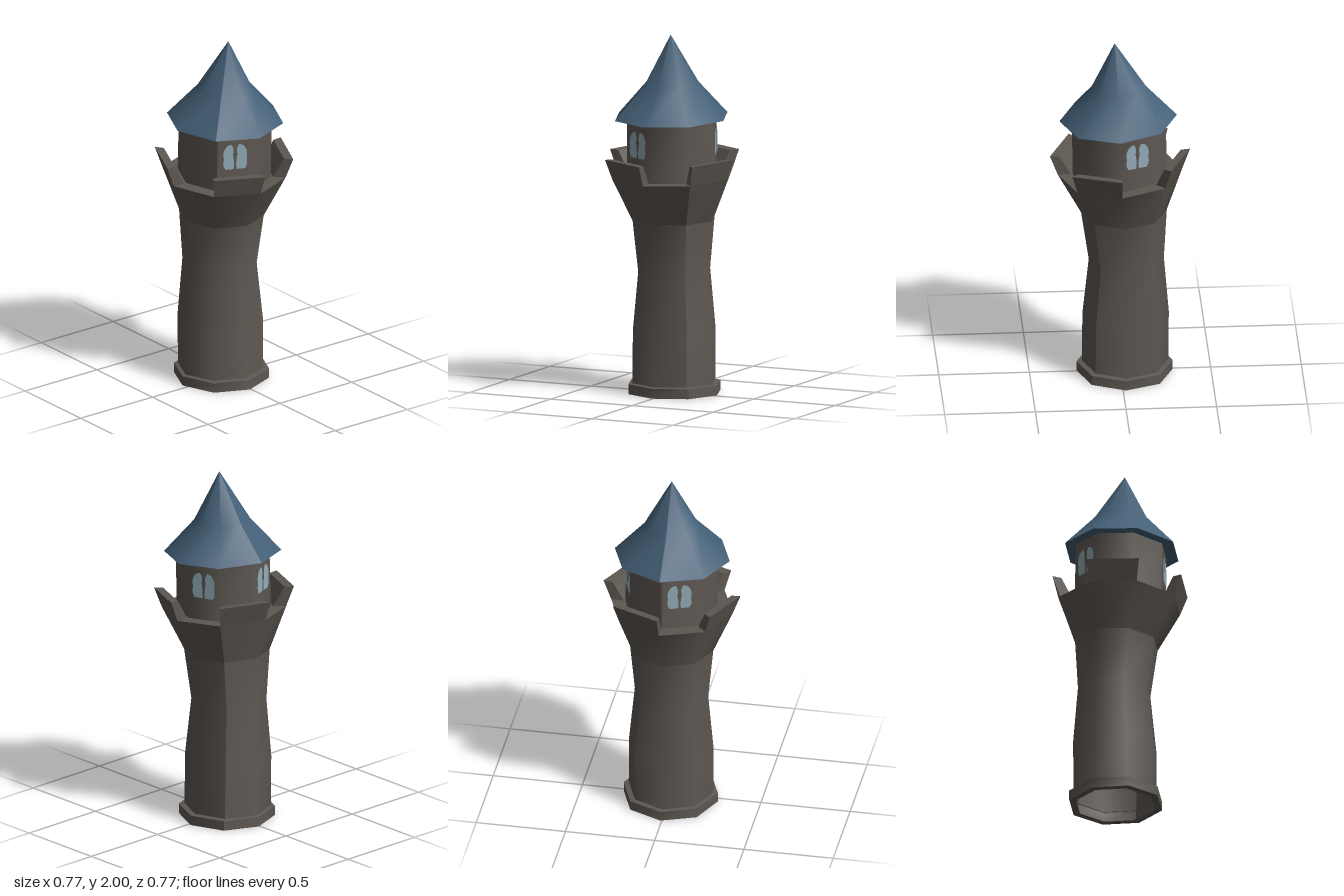
import * as THREE from 'three';

const SIDES = 8;
const PHASE = 0.03;
const STEP = (Math.PI * 2) / SIDES;

const stone = new THREE.MeshStandardMaterial({ color: 0x5e5852, side: THREE.DoubleSide });
stone.name = 'stone';
const slate = new THREE.MeshStandardMaterial({ color: 0x446077, side: THREE.DoubleSide });
slate.name = 'blue slate';
const glass = new THREE.MeshStandardMaterial({ color: 0x93adb9, side: THREE.DoubleSide });
glass.name = 'pale glass';

// One corner of an octagonal ring: [radius, height, centre x, sideways tilt, centre z]
function corner([r, y, cx = 0, tilt = 0, cz = 0], i) {
  const a = PHASE + i * STEP;
  const dx = r * Math.cos(a);
  return [cx + dx, y + dx * tilt, cz + r * Math.sin(a)];
}

// Smooth surface through rings, covering the sides from corner 'from' to corner 'to'
function patch(rings, from, to) {
  const pos = [], index = [], n = to - from + 1;
  for (const ring of rings) for (let i = from; i <= to; i++) pos.push(...corner(ring, i));
  for (let j = 0; j < rings.length - 1; j++) {
    for (let i = 0; i < n - 1; i++) {
      const a = j * n + i, b = a + 1, d = a + n, c = d + 1;
      index.push(a, d, b, b, d, c);
    }
  }
  const g = new THREE.BufferGeometry();
  g.setAttribute('position', new THREE.Float32BufferAttribute(pos, 3));
  g.setIndex(index);
  g.computeVertexNormals();
  return g;
}

// Full ring wall with hard vertical edges at two corners
function addWall(parent, name, rings, material, [s, e]) {
  const part = new THREE.Group();
  part.name = name;
  part.add(new THREE.Mesh(patch(rings, s, e), material));
  part.add(new THREE.Mesh(patch(rings, e, s + SIDES), material));
  part.children.forEach((m, k) => { m.name = name + (k ? 'Back' : 'Front'); });
  parent.add(part);
}

// Flat-faced block standing on one side of the crown
function merlonGeometry(rings, i) {
  const body = patch(rings, i, i + 1).toNonIndexed();
  const pos = Array.from(body.attributes.position.array);
  const [a, b, c, d] = rings.map((r) => corner(r, i));
  const [e, f, g, h] = rings.map((r) => corner(r, i + 1));
  for (const t of [[a, c, b], [a, d, c], [e, f, g], [e, g, h]]) pos.push(...t.flat());
  const geo = new THREE.BufferGeometry();
  geo.setAttribute('position', new THREE.Float32BufferAttribute(pos, 3));
  geo.computeVertexNormals();
  return geo;
}

// One arched pane with a pinched waist; 's' mirrors it
function paneShape(s) {
  const p = new THREE.Shape();
  p.moveTo(s * 0.008, -0.072);
  p.lineTo(s * 0.055, -0.072);
  p.quadraticCurveTo(s * 0.075, -0.045, s * 0.064, -0.012);
  p.quadraticCurveTo(s * 0.074, 0.025, s * 0.058, 0.05);
  p.quadraticCurveTo(s * 0.045, 0.075, s * 0.02, 0.073);
  p.quadraticCurveTo(s * 0.003, 0.045, s * 0.013, 0.015);
  p.quadraticCurveTo(s * 0.001, -0.04, s * 0.008, -0.072);
  return p;
}

export function createModel() {
  const tower = new THREE.Group();
  tower.name = 'tower';
  const rear = [-3, 3 - 4 + 0]; // hard edges at the two rear corners
  rear[1] = -1;

  // Plinth: open underneath
  addWall(tower, 'plinthSide', [[0.265, 0, -0.025], [0.265, 0.055, -0.025]], stone, rear);
  addWall(tower, 'plinthTop', [[0.265, 0.055, -0.025], [0.23, 0.06, -0.027]], stone, rear);
  addWall(tower, 'plinthUnderside', [[0.225, 0, -0.025], [0.265, 0, -0.025]], stone, rear);
  addWall(tower, 'plinthInside', [[0.235, 0.06, -0.027], [0.225, 0, -0.025]], stone, rear);

  // Waisted shaft
  const neck = [0.236, 0.97, -0.022, -0.025, 0.003];
  addWall(tower, 'shaft', [
    [0.238, 0.05, -0.028, 0, 0.004],
    [0.238, 0.35, -0.031, 0, 0.004],
    [0.207, 0.68, -0.035, -0.01, 0.006],
    neck,
  ], stone, rear);

  // Flared crown and walkway
  const outerLow = [0.343, 1.213, 0, -0.04, 0.002];
  const outerTop = [0.386, 1.328, 0, -0.045, 0.002];
  const innerTop = [0.335, 1.325, 0, -0.045, 0.002];
  const innerLow = [0.272, 1.213, 0, -0.04, 0.002];
  addWall(tower, 'crown', [neck, outerLow], stone, rear);
  addWall(tower, 'walkway', [outerLow, [0.22, 1.21, 0, -0.04]], stone, rear);

  // Merlons on alternate sides
  for (let i = 0; i < SIDES; i += 2) {
    const m = new THREE.Mesh(merlonGeometry([outerLow, outerTop, innerTop, innerLow], i), stone);
    m.name = 'merlon';
    tower.add(m);
  }

  // Turret room
  addWall(tower, 'turret', [
    [0.26, 1.2, 0, -0.04],
    [0.258, 1.545, 0.008, -0.045],
  ], stone, [1, 4]);

  // Twin-pane windows on three sides
  const paneGeo = new THREE.ShapeGeometry([paneShape(1), paneShape(-1)], 5);
  for (const side of [0, 3, 5]) {
    const a = PHASE + (side + 0.5) * STEP;
    const w = new THREE.Mesh(paneGeo, glass);
    w.name = 'window';
    const r = 0.245;
    w.position.set(0.005 + r * Math.cos(a), 1.41 - 0.03 * r * Math.cos(a), r * Math.sin(a));
    w.rotation.y = Math.atan2(Math.cos(a), Math.sin(a));
    tower.add(w);
  }

  // Bell-shaped pointed roof with a soffit
  const eave = [0.324, 1.54, 0.01, -0.046, 0.002];
  addWall(tower, 'roof', [
    eave,
    [0.155, 1.725, 0.012, -0.06, 0],
    [0.0005, 2, 0.03, 0, -0.005],
  ], slate, [1, 4]);
  addWall(tower, 'roofSoffit', [[0.2, 1.545, 0.01, -0.046], eave], slate, [1, 4]);

  return tower;
}
